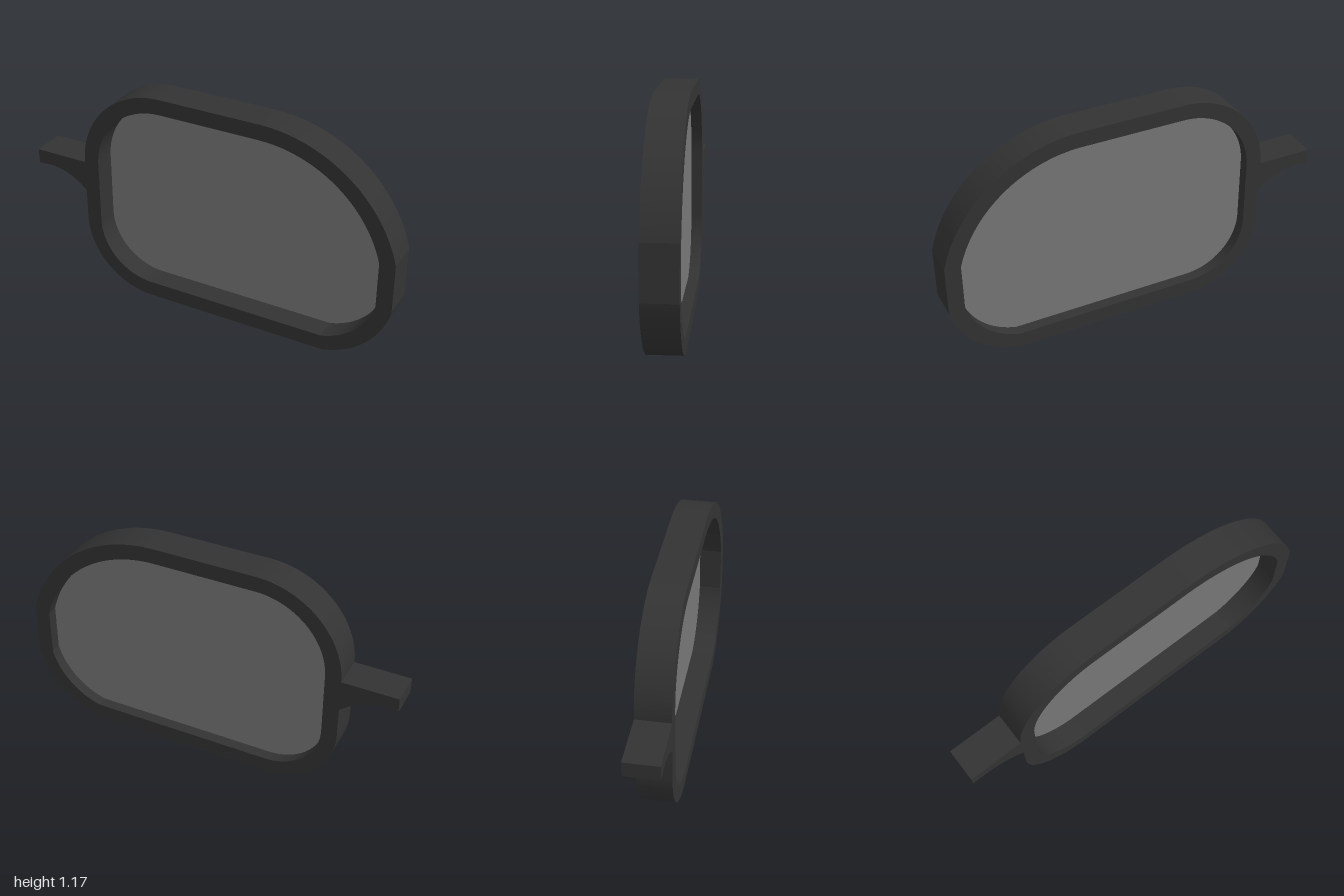
import * as THREE from 'three';
import { toCreasedNormals } from 'three/addons/utils/BufferGeometryUtils.js';

const DEPTH = 0.175;
const BOX = { left: -0.71, right: 1, bottom: 0, top: 1.17 };

// Rim outline, inset by d: four corner arcs cut off by the straight sides.
function outline(d, Type = THREE.Shape) {
  const l = BOX.left + d, r = BOX.right - d, b = BOX.bottom + d, t = BOX.top - d;
  // Centre, radius, and the sides where each arc starts and ends, counter-clockwise
  const corners = [
    [0.28, 0.427, 0.743, r, t],
    [-0.255, 0.715, 0.455, l, t],
    [-0.33, 0.38, 0.38, l, b],
    [0.56, 0.44, 0.45, r, b],
  ];
  const path = new Type();
  corners.forEach(([cx, cy, radius, sideX, sideY], i) => {
    const R = radius - d;
    const ax = Math.acos(Math.min(1, Math.abs(sideX - cx) / R)); // at the vertical side
    const ay = Math.asin(Math.min(1, Math.abs(sideY - cy) / R)); // at the horizontal side
    const [start, end] = [
      [ax, ay],
      [Math.PI - ay, Math.PI - ax],
      [Math.PI + ax, Math.PI + ay],
      [2 * Math.PI - ay, 2 * Math.PI - ax],
    ][i];
    if (i === 0) path.moveTo(cx + R * Math.cos(start), cy + R * Math.sin(start));
    path.absarc(cx, cy, R, start, end, false);
  });
  path.closePath();
  return path;
}

function extrude(shape) {
  const geometry = new THREE.ExtrudeGeometry(shape, { depth: DEPTH, bevelEnabled: false, curveSegments: 20 });
  geometry.translate(0, 0, -DEPTH / 2);
  return toCreasedNormals(geometry, 0.2);
}

export function createModel() {
  const group = new THREE.Group();
  const frameMaterial = new THREE.MeshStandardMaterial({ color: 0x333333 });
  const lensMaterial = new THREE.MeshStandardMaterial({ color: 0x777777, side: THREE.DoubleSide });
  const add = (name, geometry, material) => {
    const mesh = new THREE.Mesh(geometry, material);
    mesh.name = name;
    group.add(mesh);
  };

  // Rim
  const rim = outline(0);
  rim.holes.push(outline(0.082, THREE.Path));
  add('rim', extrude(rim), frameMaterial);

  // Lens, a thin sheet set a little behind the middle of the rim
  const lens = new THREE.ShapeGeometry(outline(0.078), 20);
  lens.translate(0, 0, -0.03);
  add('lens', lens, lensMaterial);

  // Nose bridge, arched underneath
  const bridge = new THREE.Shape();
  bridge.moveTo(-1, 0.71);
  bridge.lineTo(-1, 0.63);
  bridge.bezierCurveTo(-0.89, 0.65, -0.79, 0.62, -0.71, 0.54);
  bridge.lineTo(-0.68, 0.54);
  bridge.lineTo(-0.68, 0.71);
  bridge.closePath();
  add('noseBridge', extrude(bridge), frameMaterial);

  return group;
}
